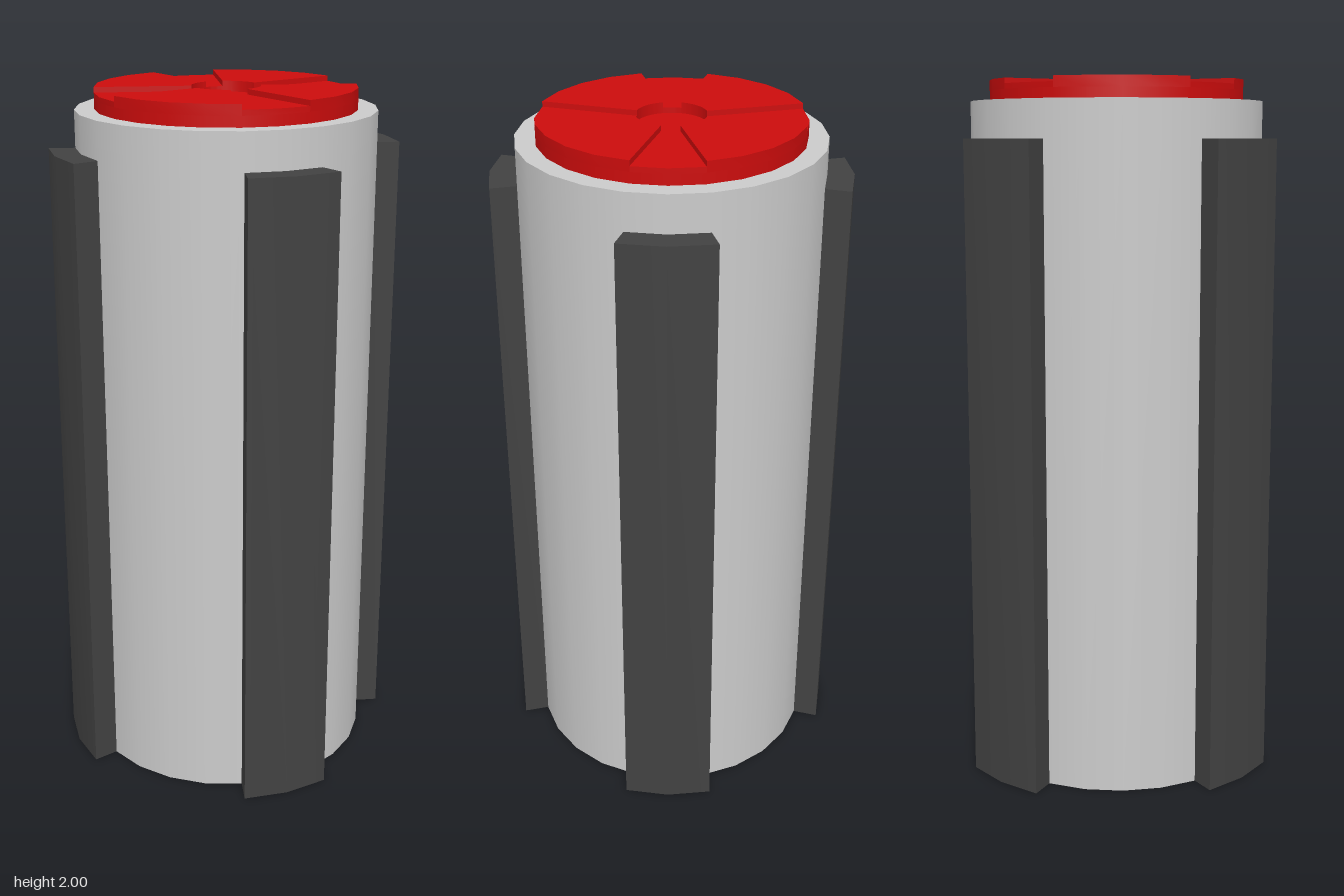
import * as THREE from 'three';
import { toCreasedNormals } from 'three/addons/utils/BufferGeometryUtils.js';

const STEP = Math.PI / 12; // 24-sided outline
const BODY_R = 0.423, PAD_R = 0.497, LID_R = 0.367, HUB_R = 0.097;

// Ring sector centred on an angle, extruded from y0 to y1
function sector(r0, r1, angle, halfSteps, y0, y1, innerDiv = 1) {
  const pts = [];
  for (let i = -halfSteps; i <= halfSteps; i++) {
    const a = angle + i * STEP;
    pts.push(new THREE.Vector2(r1 * Math.cos(a), r1 * Math.sin(a)));
  }
  const n = halfSteps * innerDiv;
  for (let i = n; i >= -n; i--) {
    const a = angle + (i / innerDiv) * STEP;
    pts.push(new THREE.Vector2(r0 * Math.cos(a), r0 * Math.sin(a)));
  }
  const geo = new THREE.ExtrudeGeometry(new THREE.Shape(pts), { depth: y1 - y0, bevelEnabled: false });
  geo.rotateX(-Math.PI / 2).translate(0, y0, 0);
  return toCreasedNormals(geo, 0.5);
}

export function createModel() {
  const model = new THREE.Group();
  model.name = 'ribbedCanister';

  const material = (name, color) => {
    const m = new THREE.MeshStandardMaterial({ color });
    m.name = name;
    return m;
  };
  const grey = material('light grey', 0xcbcbcb);
  const dark = material('dark grey', 0x424242);
  const red = material('red', 0xcc0c0c);

  const add = (name, geo, mat) => {
    const mesh = new THREE.Mesh(geo, mat);
    mesh.name = name;
    model.add(mesh);
  };
  const drum = (r, y0, y1) =>
    new THREE.CylinderGeometry(r, r, y1 - y0, 24).translate(0, (y0 + y1) / 2, 0);

  // Body and the lid base, whose top is the floor of the hub recess
  add('body', drum(BODY_R, 0, 1.94), grey);
  add('lidBase', drum(LID_R, 1.94, 1.97), red);

  for (let i = 0; i < 4; i++) {
    const a = i * Math.PI / 2;
    // Grip pads along the sides
    add('gripPad' + (i + 1), sector(BODY_R, PAD_R, a, 1, 0, 1.835), dark);
    // Sunken wedges on the axes, raised wedges between them
    add('lidGroove' + (i + 1), sector(HUB_R, LID_R, a, 1, 1.97, 1.985, 4), red);
    add('lidWedge' + (i + 1), sector(HUB_R, LID_R, a + Math.PI / 4, 2, 1.97, 2, 4), red);
  }
  return model;
}
